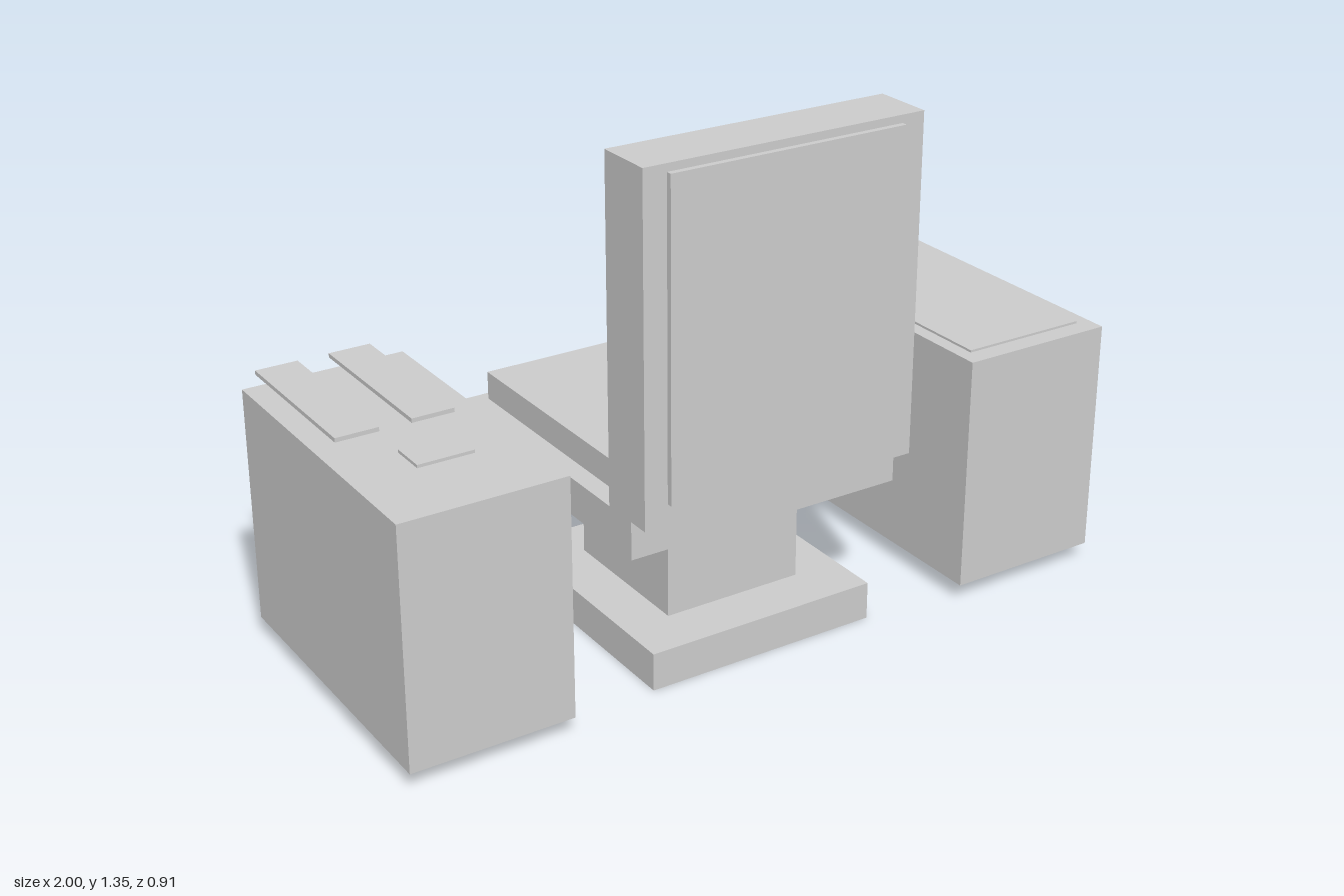
import * as THREE from 'three';

export function createModel() {
  const group = new THREE.Group();
  const material = new THREE.MeshStandardMaterial({ color: 0xcccccc, flatShading: true });

  // Adds a box spanning the given [min, max] ranges.
  function box(name, [x0, x1], [y0, y1], [z0, z1]) {
    const mesh = new THREE.Mesh(new THREE.BoxGeometry(x1 - x0, y1 - y0, z1 - z0), material);
    mesh.position.set((x0 + x1) / 2, (y0 + y1) / 2, (z0 + z1) / 2);
    mesh.name = name;
    group.add(mesh);
  }
  const wide = (half) => [-half, half];

  // Foot and column
  box('basePlate', wide(0.32), [0, 0.1], [-0.292, 0.375]);
  box('pedestal', wide(0.192), [0.1, 0.375], [-0.165, 0.24]);

  // Seat
  box('seatPan', wide(0.382), [0.375, 0.475], [-0.437, 0.38]);
  box('seatFrontTrim', wide(0.33), [0.412, 0.462], [-0.441, -0.437]);
  box('seatCushion', wide(0.33), [0.475, 0.55], [-0.405, 0.28]);

  // Backrest
  box('backrest', wide(0.382), [0.475, 1.35], [0.283, 0.44]);
  box('backrestPad', wide(0.32), [0.703, 1.32], [0.261, 0.283]);
  box('backrestRearPanel', wide(0.32), [0.53, 1.33], [0.44, 0.455]);
  box('lumbarPad', wide(0.32), [0.55, 0.7], [0.233, 0.263]);

  // Side consoles
  const top = 0.67;
  box('rightConsole', [-1, -0.573], [0.045, top], [-0.39, 0.437]);
  box('leftConsole', [0.573, 1], [0.045, top], [-0.39, 0.437]);

  // Right console: two overhanging strips and a small plate
  for (const x of [-0.882, -0.687]) {
    box('controlStrip', [x - 0.056, x + 0.056], [top, 0.681], [-0.455, 0]);
  }
  box('controlPlate', [-0.84, -0.695], [top, 0.678], [0.125, 0.22]);

  // Left console: large pad and an overhanging tab
  box('consolePad', [0.61, 0.96], [top, 0.676], [-0.315, 0.385]);
  box('consoleTab', [0.655, 0.797], [top, 0.681], [-0.405, -0.315]);

  return group;
}
